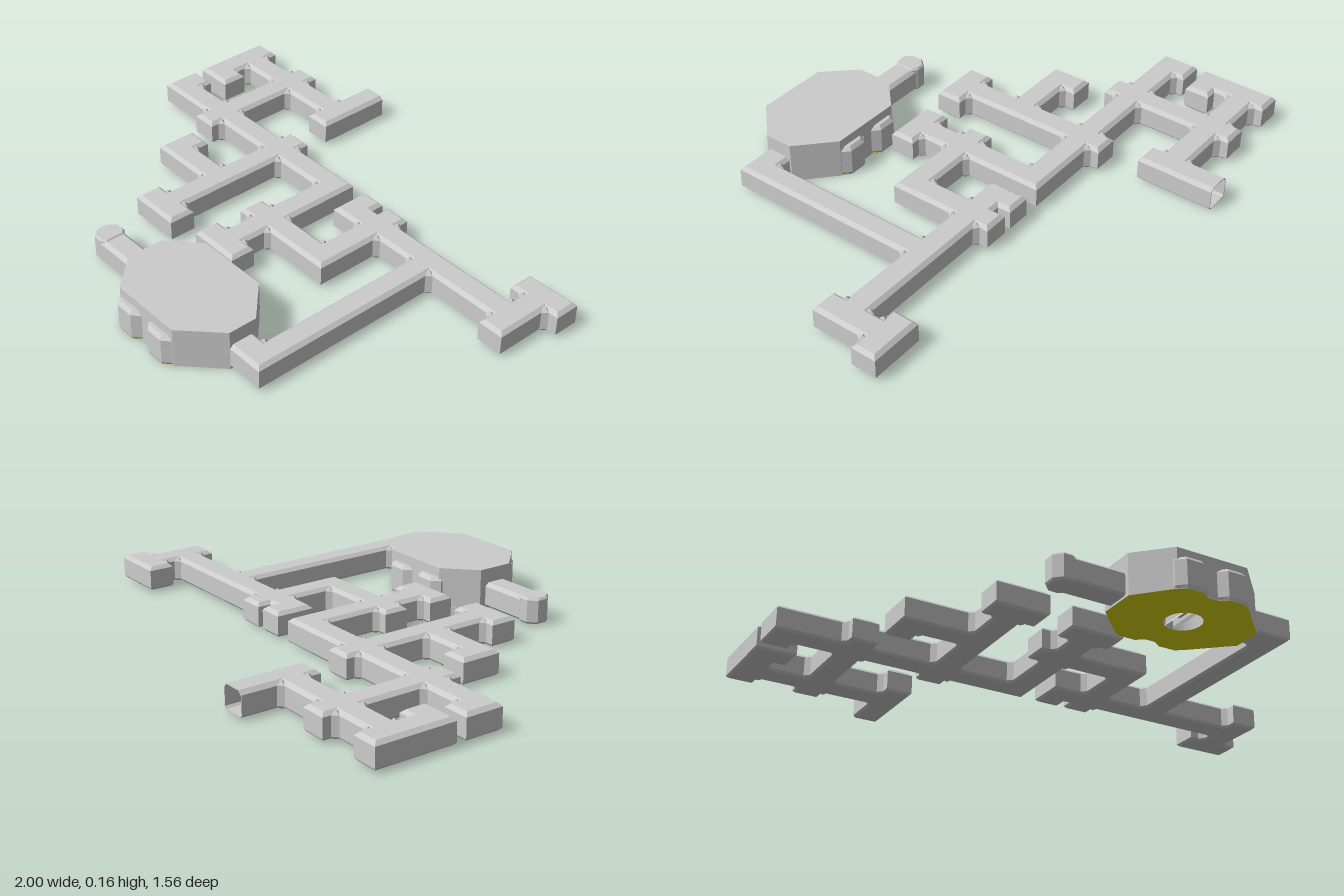
import * as THREE from 'three';

const stone = new THREE.MeshStandardMaterial({ color: 0xcccccc, side: THREE.DoubleSide });
stone.name = 'grey stone';
const olive = new THREE.MeshStandardMaterial({ color: 0xe2dd0c });
olive.name = 'yellow floor';

// Stacks a convex x/z outline at [y, inset] levels, flat shaded and capped.
function loft(outline, levels, bottomCap = true) {
  const xs = outline.map(p => p[0]), zs = outline.map(p => p[1]);
  const x0 = Math.min(...xs), x1 = Math.max(...xs), z0 = Math.min(...zs), z1 = Math.max(...zs);
  const cx = (x0 + x1) / 2, cz = (z0 + z1) / 2, n = outline.length;
  const rings = levels.map(([y, d]) => outline.map(([x, z]) => [
    cx + (x - cx) * (1 - 2 * d / (x1 - x0)), y, cz + (z - cz) * (1 - 2 * d / (z1 - z0))]));
  const pos = [];
  const tri = (a, b, c) => pos.push(...a, ...b, ...c);
  for (let k = 0; k + 1 < rings.length; k++) {
    for (let i = 0; i < n; i++) {
      const j = (i + 1) % n, lo = rings[k], hi = rings[k + 1];
      tri(lo[i], lo[j], hi[j]);
      tri(lo[i], hi[j], hi[i]);
    }
  }
  const top = rings[rings.length - 1], bottom = rings[0];
  for (let i = 1; i + 1 < n; i++) {
    tri(top[0], top[i], top[i + 1]);
    if (bottomCap) tri(bottom[0], bottom[i + 1], bottom[i]);
  }
  const g = new THREE.BufferGeometry();
  g.setAttribute('position', new THREE.Float32BufferAttribute(pos, 3));
  g.computeVertexNormals();
  return g;
}

const rect = (x0, x1, z0, z1) => [[x0, z0], [x0, z1], [x1, z1], [x1, z0]];
const diamond = (x, z, r) => [[x - r, z], [x, z + r], [x + r, z], [x, z - r]];
const BAR = [[0.008, 0.008], [0.016, 0], [0.087, 0], [0.1, 0.014]];

export function createModel() {
  const model = new THREE.Group();
  const add = (name, geometry, material = stone, parent = model) => {
    const m = new THREE.Mesh(geometry, material);
    m.name = name;
    parent.add(m);
    return m;
  };

  // Corridors: x0, x1, z0, z1
  const groups = {
    westCorridors: [
      [-1, -0.897, -0.678, -0.37], [-1, -0.355, -0.628, -0.527], [-0.743, -0.643, -0.678, -0.138],
      [-0.453, -0.353, -0.63, -0.475], [-1, -0.85, -0.47, -0.37], [-1, -0.897, -0.333, -0.188],
    ],
    middleCorridors: [
      [-1, 0.01, -0.287, -0.188], [-0.403, -0.303, -0.337, 0.36], [-0.453, -0.248, 0.257, 0.36],
      [-0.66, -0.32, 0.003, 0.102], [-0.66, -0.56, -0.053, 0.102], [-0.09, 0.01, -0.287, 0.33],
      [-0.143, 0.062, 0.232, 0.33], [-0.143, 0.295, 0.027, 0.125],
    ],
    eastCorridors: [
      [0.195, 0.295, -0.288, 0.125], [0.07, 0.943, -0.237, -0.137], [0.07, 0.167, -0.288, -0.137],
      [0.843, 0.945, -0.388, -0.083], [0.79, 1, -0.392, -0.293], [0.46, 0.557, -0.237, 0.62],
      [0.3, 0.557, 0.517, 0.62],
    ],
    roomPassage: [[-0.34, -0.08, 0.52, 0.618]],
  };
  for (const [name, list] of Object.entries(groups)) {
    const group = new THREE.Group();
    group.name = name;
    model.add(group);
    for (const r of list) add('corridor', loft(rect(...r), BAR), stone, group);
  }

  // Small diagonal fillers in the inner corners of the junctions: x, z
  const corners = [
    [-0.743, -0.628], [-0.643, -0.628], [-0.743, -0.527], [-0.643, -0.527], [-0.897, -0.628],
    [-0.897, -0.527], [-0.453, -0.628], [-0.453, -0.527], [-0.743, -0.287], [-0.643, -0.287],
    [-0.743, -0.188], [-0.643, -0.188], [-0.897, -0.287], [-0.403, -0.287], [-0.303, -0.287],
    [-0.403, -0.188], [-0.303, -0.188], [-0.09, -0.188], [-0.403, 0.003], [-0.403, 0.102],
    [-0.403, 0.257], [-0.303, 0.257], [-0.56, 0.003], [-0.09, 0.027], [0.01, 0.027],
    [-0.09, 0.125], [0.01, 0.125], [-0.09, 0.232], [0.01, 0.232], [0.195, 0.027],
    [0.195, -0.137], [0.295, -0.137], [0.295, -0.237], [0.46, -0.137], [0.557, -0.137],
    [0.843, -0.137], [0.843, -0.237], [0.843, -0.293], [0.945, -0.293], [0.46, 0.517],
  ];
  const fillers = new THREE.Group();
  fillers.name = 'junctionCorners';
  model.add(fillers);
  for (const [x, z] of corners) add('junctionCorner', loft(diamond(x, z, 0.018), BAR), stone, fillers);

  // Hollow open tunnel mouth at the back
  const section = (w, y0, y1, c) => [[-w, y0 + 0.008], [-w + 0.008, y0], [w - 0.008, y0], [w, y0 + 0.008],
    [w, y1 - c], [w - c, y1], [-w + c, y1], [-w, y1 - c]].map(p => new THREE.Vector2(...p));
  const mouth = new THREE.Shape(section(0.05, 0.008, 0.1, 0.014));
  mouth.holes.push(new THREE.Path(section(0.047, 0.011, 0.097, 0.013)));
  const tunnel = new THREE.ExtrudeGeometry(mouth, { depth: 0.195, bevelEnabled: false });
  add('tunnelMouth', tunnel).position.set(-0.403, 0, -0.778);

  // Faceted end of the passage
  add('passageEnd', loft([[-0.378, 0.545], [-0.378, 0.59], [-0.35, 0.618], [-0.315, 0.618],
    [-0.292, 0.605], [-0.292, 0.53], [-0.315, 0.515], [-0.35, 0.515]],
  [[0.006, 0.006], [0.014, 0], [0.097, 0], [0.105, 0.006]]));

  // Octagonal room, open underneath
  add('room', loft([[-0.118, 0.495], [-0.118, 0.635], [-0.005, 0.752], [0.28, 0.752],
    [0.412, 0.62], [0.412, 0.51], [0.28, 0.388], [-0.005, 0.388]], [[0.002, 0], [0.155, 0]], false));

  // Tapered alcoves running through the room
  const alcove = (a, b) => [[a, 0.39], [a, 0.75], [a + 0.03, 0.778], [b - 0.03, 0.778],
    [b, 0.75], [b, 0.39], [b - 0.03, 0.362], [a + 0.03, 0.362]];
  for (const [a, b] of [[-0.015, 0.115], [0.15, 0.28]]) {
    add('roomAlcove', loft(alcove(a, b), [[0.002, 0.004], [0.012, 0], [0.105, 0], [0.12, 0.012]], false));
  }

  // Floor follows the room and its alcoves, with a round well; only its flat faces are coloured
  const side = (z, out) => [[-0.013, z], [0.017, out], [0.083, out], [0.113, z],
    [0.152, z], [0.182, out], [0.248, out], [0.278, z]];
  const floor = new THREE.Shape([[-0.118, 0.635], [-0.118, 0.495], ...side(0.389, 0.367),
    [0.412, 0.51], [0.412, 0.62], ...side(0.751, 0.773).reverse()].map(p => new THREE.Vector2(...p)));
  floor.holes.push(new THREE.Path().absarc(0.145, 0.567, 0.068, 0, Math.PI * 2, true));
  const plate = new THREE.ExtrudeGeometry(floor, { depth: 0.002, bevelEnabled: false, curveSegments: 10 });
  plate.rotateX(Math.PI / 2).translate(0, 0.002, 0);
  add('roomFloor', plate, [olive, stone]);

  // Well lining and its inner pedestal
  add('wellLining', new THREE.CylinderGeometry(0.068, 0.068, 0.1, 16, 1, true)).position.set(0.145, 0.052, 0.567);
  add('wellCap', new THREE.CylinderGeometry(0.068, 0.068, 0.005, 16)).position.set(0.145, 0.105, 0.567);
  add('wellPedestal', new THREE.CylinderGeometry(0.035, 0.025, 0.08, 8)).position.set(0.145, 0.065, 0.567);

  return model;
}
